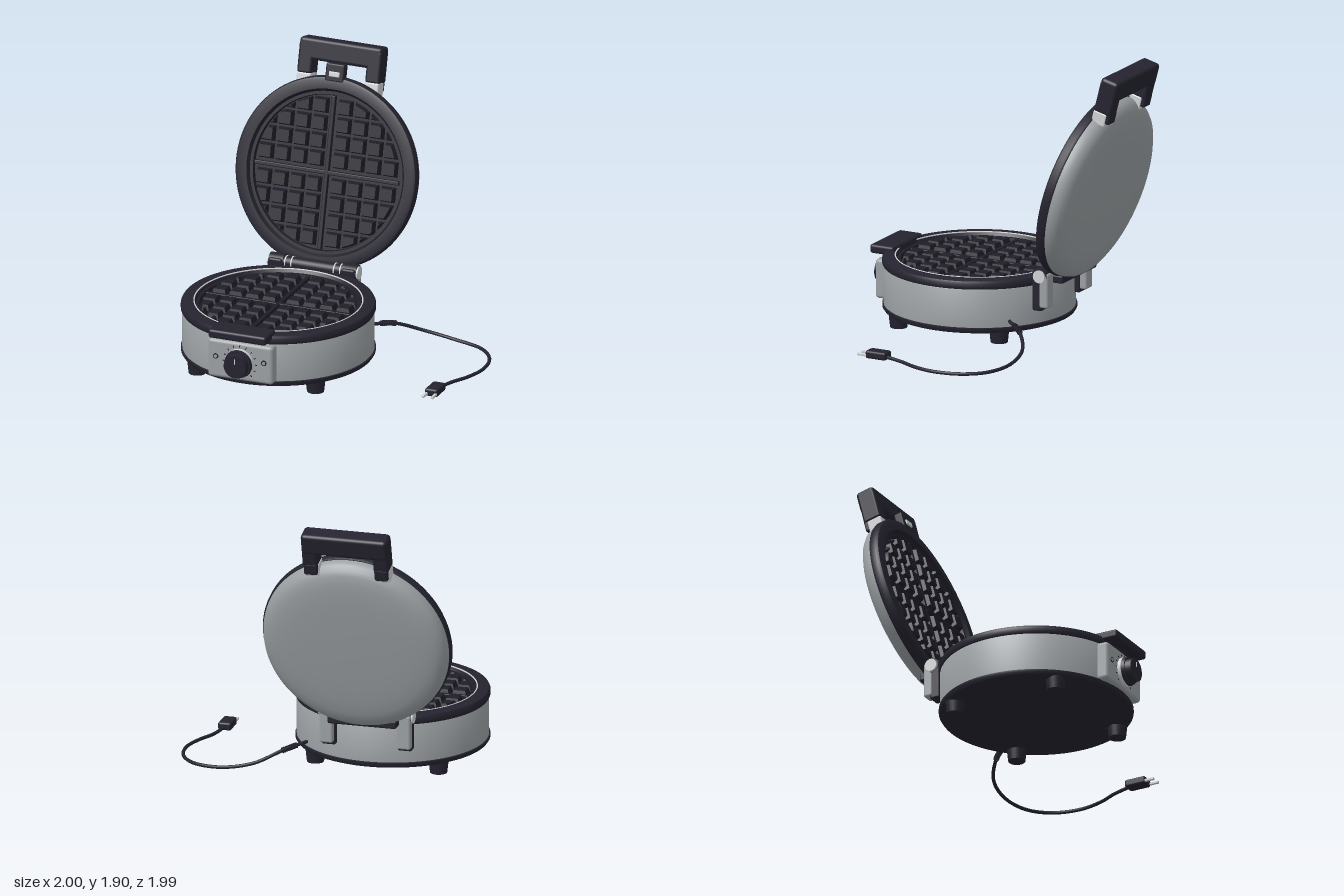
import * as THREE from 'three';
import { toCreasedNormals, mergeGeometries } from 'three/addons/utils/BufferGeometryUtils.js';
import { RoundedBoxGeometry } from 'three/addons/geometries/RoundedBoxGeometry.js';

const mat = (name, color) => Object.assign(new THREE.MeshStandardMaterial({ color }), { name });
const black = mat('blackPlastic', 0x24232f);
const iron = mat('darkIron', 0x1f1e29);
const steel = mat('brushedSteel', 0x9a9fa2);
const chrome = mat('brightMetal', 0xcfd1d3);

const CX = -0.345, CZ = 0.225;

function add(parent, name, geo, material, x = 0, y = 0, z = 0) {
  const m = new THREE.Mesh(geo, material);
  m.name = name;
  m.position.set(x, y, z);
  parent.add(m);
  return m;
}

// rounded box given by its extents on each axis
function box(parent, name, material, [x0, x1], [y0, y1], [z0, z1], r = 0.012) {
  const w = x1 - x0, h = y1 - y0, d = z1 - z0;
  const geo = new RoundedBoxGeometry(w, h, d, 3, Math.min(r, w / 2.1, h / 2.1, d / 2.1));
  return add(parent, name, geo, material, (x0 + x1) / 2, (y0 + y1) / 2, (z0 + z1) / 2);
}

const lathe = (pts) => toCreasedNormals(
  new THREE.LatheGeometry(pts.map(([r, y]) => new THREE.Vector2(r, y)), 96), 0.6);

const cylX = (r, len) => new THREE.CylinderGeometry(r, r, len, 32).rotateZ(Math.PI / 2);
const cylZ = (r0, r1, len) => new THREE.CylinderGeometry(r0, r1, len, 48).rotateX(Math.PI / 2);

// outline of a square cell cut off by the circle of radius R
function cellOutline(x0, z0, size, R) {
  if (Math.hypot(x0, z0) >= R) return null;
  const xm = Math.min(x0 + size, Math.sqrt(R * R - z0 * z0));
  const pts = [[x0, z0]];
  for (let i = 0; i <= 6; i++) {
    const x = x0 + (xm - x0) * i / 6;
    pts.push([x, Math.min(z0 + size, Math.sqrt(Math.max(0, R * R - x * x)))]);
  }
  pts.push([xm, z0]);
  return pts;
}

// raised block with sloping sides
function cellBlock(x0, z0, yLow, yHigh) {
  const low = cellOutline(x0, z0, 0.106, 0.522), high = cellOutline(x0 + 0.013, z0 + 0.013, 0.08, 0.511);
  if (!low || !high) return null;
  const pos = [], n = low.length;
  const p = (ring, i, y) => pos.push(ring[i % n][0], y, ring[i % n][1]);
  for (let i = 0; i < n; i++) {
    p(low, i, yLow); p(low, i + 1, yLow); p(high, i + 1, yHigh);
    p(low, i, yLow); p(high, i + 1, yHigh); p(high, i, yHigh);
    if (i > 0 && i < n - 1) { p(high, 0, yHigh); p(high, i, yHigh); p(high, i + 1, yHigh); }
  }
  const g = new THREE.BufferGeometry();
  g.setAttribute('position', new THREE.Float32BufferAttribute(pos, 3));
  g.computeVertexNormals();
  return g;
}

// waffle plate facing up, rim level with y = 0
function wafflePlate(name) {
  const g = new THREE.Group();
  g.name = name;
  add(g, 'plateFloor', lathe([[0.57, 0], [0.553, -0.022], [0.532, -0.022], [0.526, -0.05], [0, -0.05]]), iron);
  const blocks = [];
  for (let q = 0; q < 4; q++)
    for (let i = 0; i < 4; i++)
      for (let j = 0; j < 4; j++) {
        const b = cellBlock(0.034 + i * 0.121, 0.034 + j * 0.121, -0.051, -0.008);
        if (b) blocks.push(b.rotateY(q * Math.PI / 2));
      }
  add(g, 'waffleBlocks', mergeGeometries(blocks), iron);
  box(g, 'dividerAcross', iron, [-0.525, 0.525], [-0.055, -0.02], [-0.014, 0.014], 0.006);
  box(g, 'dividerAlong', iron, [-0.014, 0.014], [-0.055, -0.02], [-0.525, 0.525], 0.006);
  return g;
}

function buildBase() {
  const g = new THREE.Group();
  g.name = 'base';
  g.position.set(CX, 0, CZ);
  add(g, 'bottomTray', lathe([[0, 0.08], [0.62, 0.08], [0.645, 0.09], [0.655, 0.105], [0.655, 0.122], [0.64, 0.125]]), black);
  add(g, 'steelBand', lathe([[0.64, 0.12], [0.646, 0.125], [0.646, 0.385], [0.64, 0.395]]), steel);
  add(g, 'topRim', lathe([[0.63, 0.39], [0.65, 0.393], [0.656, 0.405], [0.656, 0.432], [0.648, 0.448], [0.63, 0.455], [0.57, 0.455]]), black);
  add(g, 'rimTrim', new THREE.TorusGeometry(0.567, 0.005, 8, 96).rotateX(Math.PI / 2), chrome, 0, 0.454, 0);
  const plate = wafflePlate('lowerPlate');
  plate.position.y = 0.454;
  g.add(plate);
  for (const x of [-0.43, 0.43])
    for (const z of [-0.385, 0.385])
      add(g, 'foot', new THREE.CylinderGeometry(0.068, 0.058, 0.09, 24), black, x, 0.05, z);
  box(g, 'frontTab', black, [-0.21, 0.21], [0.418, 0.48], [0.55, 0.73], 0.018);

  // control panel
  box(g, 'controlPanel', steel, [-0.237, 0.237], [0.118, 0.392], [0.52, 0.675], 0.025);
  add(g, 'knobCollar', cylZ(0.1, 0.1, 0.03), chrome, 0, 0.25, 0.685);
  add(g, 'knobSkirt', cylZ(0.094, 0.1, 0.025), black, 0, 0.25, 0.71);
  add(g, 'knob', cylZ(0.08, 0.086, 0.055), black, 0, 0.25, 0.738);
  add(g, 'knobPointer', new THREE.BoxGeometry(0.008, 0.035, 0.004), chrome, 0, 0.288, 0.767);
  for (let i = 0; i < 13; i++) {
    const a = (-135 + i * 22.5) * Math.PI / 180;
    const t = add(g, 'dialMark', new THREE.BoxGeometry(0.006, 0.014, 0.004), black,
      Math.sin(a) * 0.118, 0.25 + Math.cos(a) * 0.118, 0.676);
    t.rotation.z = -a;
  }
  for (const s of [-1, 1]) {
    add(g, 'lampBezel', cylZ(0.019, 0.019, 0.008), black, s * 0.175, 0.273, 0.676);
    add(g, 'lamp', cylZ(0.012, 0.012, 0.01), steel, s * 0.175, 0.273, 0.677);
  }
  return g;
}

function buildHinge() {
  const g = new THREE.Group();
  g.name = 'hinge';
  g.position.set(CX, 0, 0);
  for (const s of [-1, 1]) {
    const span = (a, b) => s > 0 ? [a, b] : [-b, -a];
    box(g, 'hingeBracket', black, span(0.215, 0.315), [0.22, 0.5], [-0.42, -0.345], 0.015);
    box(g, 'hingeCover', steel, span(0.225, 0.318), [0.245, 0.485], [-0.467, -0.4], 0.015);
    add(g, 'hingeKnuckle', cylX(0.054, 0.105), black, s * 0.265, 0.465, -0.405);
    add(g, 'hingeCap', cylX(0.044, 0.012), chrome, s * 0.323, 0.465, -0.405);
    for (const x of [0.155, 0.2]) add(g, 'hingeWasher', cylX(0.046, 0.008), chrome, s * x, 0.465, -0.405);
  }
  add(g, 'hingeBarrel', cylX(0.042, 0.44), black, 0, 0.465, -0.405);
  box(g, 'hingeBlock', black, [-0.24, 0.24], [0.41, 0.465], [-0.54, -0.42]);
  return g;
}

// lid is modelled face up, its far edge at -z, then swung open
function buildLid() {
  const g = new THREE.Group();
  g.name = 'lid';
  g.position.set(CX, 1.07, -0.59);
  g.rotation.x = Math.PI / 2 - 14.4 * Math.PI / 180;
  add(g, 'lidRim', lathe([[0.63, -0.075], [0.65, -0.072], [0.656, -0.06], [0.656, -0.022], [0.648, -0.006], [0.63, 0], [0.57, 0]]), black);
  add(g, 'lidShell', lathe([[0, -0.2], [0.3, -0.198], [0.43, -0.193], [0.52, -0.183], [0.575, -0.169], [0.61, -0.15],
    [0.632, -0.125], [0.643, -0.095], [0.646, -0.07], [0.63, -0.068]]), steel);
  g.add(wafflePlate('upperPlate'));
  for (const s of [-1, 1]) {
    const span = (a, b) => s > 0 ? [a, b] : [-b, -a];
    box(g, 'handleClamp', chrome, span(0.195, 0.298), [-0.165, -0.06], [-0.645, -0.55]);
    box(g, 'handleLeg', black, span(0.195, 0.3), [-0.19, -0.06], [-0.86, -0.638], 0.018);
    box(g, 'handleFoot', black, span(0.2, 0.293), [-0.192, -0.14], [-0.66, -0.575]);
  }
  box(g, 'handleBar', black, [-0.3, 0.3], [-0.195, -0.06], [-0.885, -0.735], 0.025);
  box(g, 'latch', black, [-0.068, 0.068], [-0.06, 0.003], [-0.745, -0.62]);
  box(g, 'latchCatch', chrome, [-0.038, 0.038], [-0.02, 0.014], [-0.69, -0.655], 0.006);
  return g;
}

function buildCord() {
  const g = new THREE.Group();
  g.name = 'powerCord';
  const path = new THREE.CatmullRomCurve3([
    [0.12, 0.17, -0.26], [0.24, 0.145, -0.4], [0.41, 0.075, -0.515], [0.62, 0.033, -0.54], [0.83, 0.022, -0.485],
    [0.95, 0.02, -0.35], [0.988, 0.02, -0.16], [0.95, 0.02, 0.01], [0.885, 0.022, 0.15], [0.85, 0.03, 0.29],
  ].map((p) => new THREE.Vector3(...p)));
  add(g, 'cord', new THREE.TubeGeometry(path, 100, 0.012, 10), black);
  add(g, 'cordEnd', new THREE.SphereGeometry(0.012, 10, 8), black, 0.12, 0.17, -0.26);
  // ribbed strain relief
  for (let i = 0; i < 9; i++) {
    const t = 0.05 + i * 0.008;
    const rib = add(g, 'reliefRib', new THREE.CylinderGeometry(0.02, 0.02, 0.006, 14), black);
    rib.position.copy(path.getPointAt(t));
    rib.quaternion.setFromUnitVectors(new THREE.Vector3(0, 1, 0), path.getTangentAt(t));
  }
  box(g, 'plug', black, [0.8, 0.893], [0.01, 0.065], [0.27, 0.425], 0.015);
  for (const x of [0.815, 0.88])
    box(g, 'prong', chrome, [x - 0.009, x + 0.009], [0.022, 0.04], [0.41, 0.49], 0.004);
  return g;
}

export function createModel() {
  const model = new THREE.Group();
  model.name = 'waffleMaker';
  model.add(buildBase(), buildHinge(), buildLid(), buildCord());
  return model;
}
